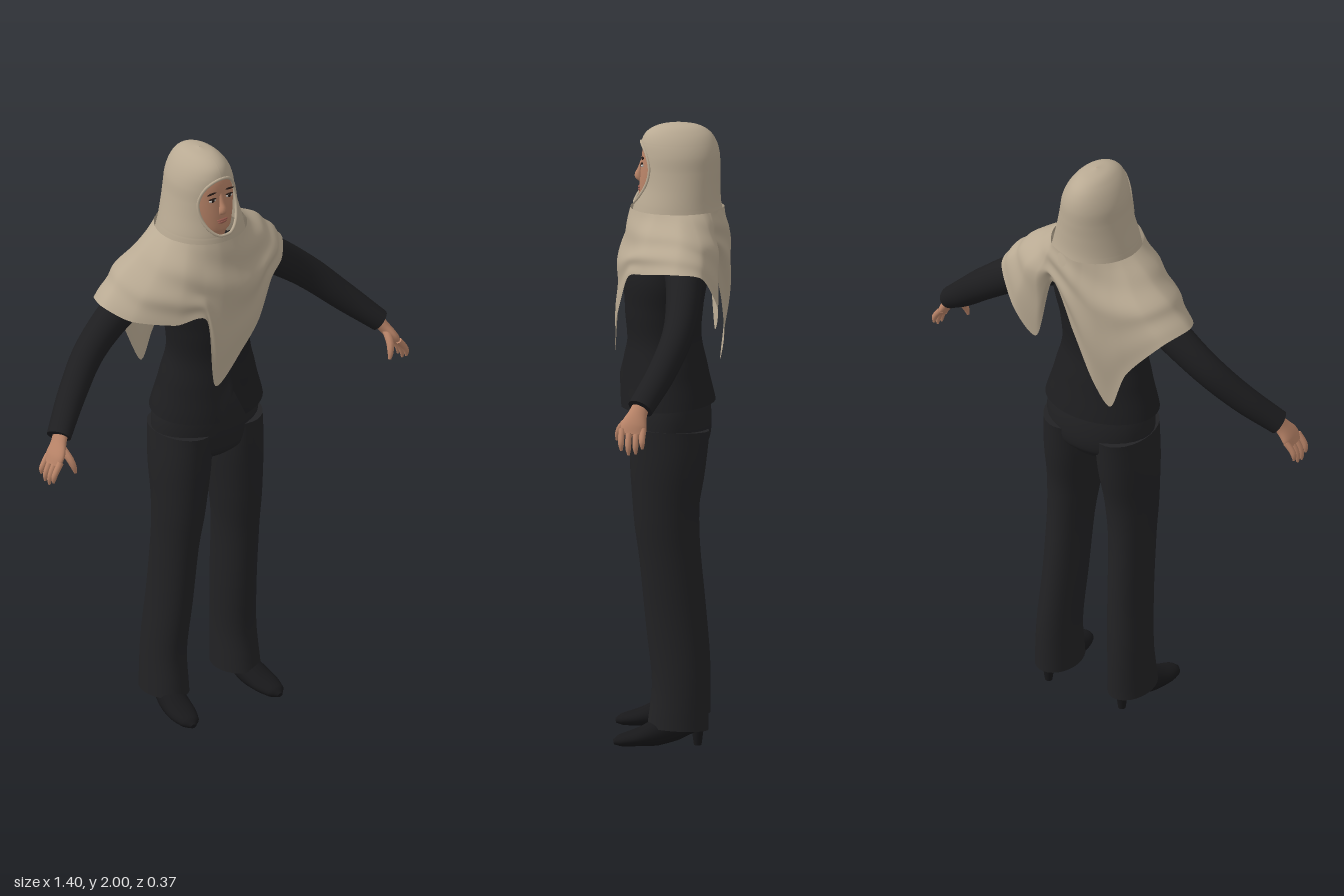
import * as THREE from 'three';

const mat = (name, color, side = THREE.FrontSide) => {
  const m = new THREE.MeshStandardMaterial({ color, side });
  m.name = name;
  return m;
};
const V = (x, y, z) => new THREE.Vector3(x, y, z);

// Smooth surface through rows of points
function grid(rows, closed) {
  const n = rows[0].length, pos = [], idx = [];
  rows.forEach(r => r.forEach(p => pos.push(p.x, p.y, p.z)));
  for (let i = 0; i < rows.length - 1; i++) {
    for (let j = 0; j < (closed ? n : n - 1); j++) {
      const k = (j + 1) % n, a = i * n + j, b = i * n + k;
      idx.push(a, b, a + n, b, b + n, a + n);
    }
  }
  const g = new THREE.BufferGeometry();
  g.setAttribute('position', new THREE.Float32BufferAttribute(pos, 3));
  g.setIndex(idx);
  g.computeVertexNormals();
  return g;
}

// Elliptical rings along a smooth path; section = [x, y, z, radius along ref, radius across]
function sweep(sections, { ref = V(0, 0, 1), segs = 28, steps = 24, caps = true } = {}) {
  const path = new THREE.CatmullRomCurve3(sections.map(s => V(s[0], s[1], s[2])));
  const size = new THREE.CatmullRomCurve3(sections.map(s => V(s[3], s[4], 0)), false, 'catmullrom', 0.4);
  const rows = [];
  for (let i = 0; i <= steps; i++) {
    const t = i / steps, c = path.getPoint(t), T = path.getTangent(t), r = size.getPoint(t);
    const U = ref.clone().addScaledVector(T, -T.dot(ref)).normalize();
    const W = T.clone().cross(U);
    rows.push(Array.from({ length: segs }, (_, j) => {
      const a = j / segs * Math.PI * 2;
      return c.clone().addScaledVector(U, r.x * Math.cos(a)).addScaledVector(W, r.y * Math.sin(a));
    }));
  }
  if (caps) {
    const flat = p => Array(segs).fill(p);
    rows.unshift(flat(path.getPoint(0)), rows[0]);
    rows.push(rows[rows.length - 1], flat(path.getPoint(1)));
  }
  return grid(rows, true);
}

// Upright body section from half-width, front z and back z
const body = (y, rx, zf, zb, x = 0) => [x, y, (zf + zb) / 2, (zf - zb) / 2, rx];

export function createModel() {
  const model = new THREE.Group();
  const scarf = mat('scarf beige', 0xb9aa93, THREE.DoubleSide);
  const skin = mat('skin', 0xb98468);
  const jacketMat = mat('jacket black', 0x1e1e20, THREE.DoubleSide);
  const trouserMat = mat('trouser black', 0x222224);
  const shoeMat = mat('shoe black', 0x18181a);
  const lipMat = mat('lip brown', 0x94584c);
  const dark = mat('eye dark', 0x231814);
  const white = mat('white', 0xd0ccc6, THREE.DoubleSide);
  const add = (name, geo, material, parent = model) => {
    const m = new THREE.Mesh(geo, material);
    m.name = name;
    parent.add(m);
    return m;
  };
  const blob = (name, material, p, s, parent) => {
    const m = add(name, new THREE.SphereGeometry(1, 20, 12), material, parent);
    m.position.set(...p);
    m.scale.set(...s);
    return m;
  };

  // Jacket body with a notch at the front hem
  const jacket = sweep([
    body(1.09, 0.195, 0.165, -0.14), body(1.2, 0.165, 0.152, -0.115), body(1.3, 0.142, 0.142, -0.095),
    body(1.4, 0.15, 0.15, -0.1), body(1.5, 0.168, 0.15, -0.115), body(1.58, 0.165, 0.11, -0.12),
    body(1.66, 0.1, 0.06, -0.1), body(1.7, 0.05, 0.04, -0.07),
  ], { segs: 96, steps: 48, caps: false });
  const jp = jacket.attributes.position;
  for (let i = 0; i < jp.count; i++) {
    const y = jp.getY(i);
    if (y < 1.3 && jp.getZ(i) > 0.05)
      jp.setY(i, y + Math.max(0, 1 - Math.abs(jp.getX(i)) / 0.05) * 0.1 * (1.3 - y) / 0.21);
  }
  jacket.computeVertexNormals();
  add('jacket', jacket, jacketMat);
  const shirt = add('shirtGap', new THREE.CircleGeometry(0.018, 4), white);
  shirt.position.set(0, 1.178, 0.143);
  shirt.scale.x = 0.7;

  // Trousers: hips and legs
  add('hips', sweep([
    body(0.92, 0.11, 0.09, -0.08), body(0.96, 0.175, 0.128, -0.115), body(1.02, 0.188, 0.137, -0.127),
    body(1.1, 0.183, 0.135, -0.12), body(1.22, 0.14, 0.11, -0.08),
  ]), trouserMat);
  for (const s of [1, -1]) {
    const side = new THREE.Group();
    side.name = s > 0 ? 'leftLimbs' : 'rightLimbs';
    model.add(side);
    const leg = (y, xi, xo, zf, zb) => body(y, (xo - xi) / 2, zf, zb, s * (xi + xo) / 2);
    add('trouserLeg', sweep([
      leg(0.055, 0.068, 0.212, 0.075, -0.12), leg(0.2, 0.07, 0.203, 0.06, -0.12),
      leg(0.4, 0.06, 0.19, 0.08, -0.105), leg(0.6, 0.05, 0.187, 0.1, -0.087),
      leg(0.75, 0.03, 0.191, 0.12, -0.087), leg(0.9, 0.01, 0.195, 0.131, -0.11), leg(1.02, 0.006, 0.19, 0.134, -0.122),
    ]), trouserMat, side);

    // Heeled shoe, toe turned slightly out
    const shoe = (z, x, lo, hi, w) => [s * x, (lo + hi) / 2, z, (hi - lo) / 2, w];
    add('shoe', sweep([
      shoe(-0.105, 0.14, 0.05, 0.1, 0.026), shoe(-0.07, 0.142, 0.04, 0.11, 0.036), shoe(-0.01, 0.147, 0.015, 0.11, 0.038),
      shoe(0.05, 0.155, 0, 0.082, 0.046), shoe(0.11, 0.163, 0, 0.055, 0.046),
      shoe(0.16, 0.168, 0, 0.038, 0.032), shoe(0.182, 0.17, 0.006, 0.022, 0.01),
    ], { ref: V(0, 1, 0) }), shoeMat, side);
    const heel = add('shoeHeel', new THREE.CylinderGeometry(0.021, 0.012, 0.065, 16), shoeMat, side);
    heel.position.set(s * 0.141, 0.0325, -0.086);

    // Sleeve
    add('sleeve', sweep([
      [s * 0.13, 1.575, -0.03, 0.06, 0.06], [s * 0.26, 1.515, -0.045, 0.058, 0.062], [s * 0.42, 1.395, -0.03, 0.05, 0.053],
      [s * 0.53, 1.29, 0.02, 0.046, 0.046], [s * 0.63, 1.195, 0.085, 0.042, 0.036],
    ]), jacketMat, side);

    // Hand: palm, four fingers and thumb
    add('palm', sweep([
      [s * 0.612, 1.215, 0.075, 0.026, 0.022], [s * 0.635, 1.18, 0.092, 0.03, 0.019],
      [s * 0.658, 1.145, 0.105, 0.041, 0.017], [s * 0.672, 1.118, 0.108, 0.037, 0.013],
    ]), skin, side);
    [[0.142, 0.015], [0.119, 0], [0.096, 0.003], [0.075, 0.02]].forEach(([z, up], i) => add('finger' + (i + 1), sweep([
      [s * 0.664, 1.135, z, 0.011, 0.011], [s * 0.684, 1.102 + up * 0.4, z + 0.003, 0.01, 0.01],
      [s * 0.692, 1.078 + up * 0.8, z + 0.003, 0.009, 0.009], [s * 0.693, 1.056 + up, z + 0.002, 0.004, 0.004],
    ], { segs: 10, steps: 8 }), skin, side));
    add('thumb', sweep([
      [s * 0.638, 1.17, 0.108, 0.014, 0.013], [s * 0.63, 1.14, 0.142, 0.013, 0.012],
      [s * 0.623, 1.115, 0.155, 0.011, 0.01], [s * 0.617, 1.09, 0.159, 0.005, 0.005],
    ], { segs: 10, steps: 8 }), skin, side);

    // Eye and brow
    blob('eyeWhite', white, [s * 0.032, 1.864, 0.0935], [0.014, 0.0055, 0.004], side);
    blob('iris', dark, [s * 0.032, 1.864, 0.0955], [0.0058, 0.0058, 0.004], side);
    blob('eyelid', dark, [s * 0.033, 1.87, 0.0945], [0.0155, 0.0022, 0.004], side);
    blob('brow', dark, [s * 0.034, 1.888, 0.092], [0.019, 0.0026, 0.004], side).rotation.z = -s * 0.08;
  }

  // Head and face
  add('head', sweep([
    [0, 1.66, -0.02, 0.06, 0.055], [0, 1.725, 0, 0.085, 0.06], [0, 1.75, 0, 0.103, 0.075], [0, 1.8, 0, 0.103, 0.086],
    [0, 1.86, 0, 0.098, 0.09], [0, 1.92, -0.005, 0.093, 0.085], [0, 1.96, -0.01, 0.05, 0.05],
  ], { segs: 48, steps: 36 }), skin);
  add('nose', sweep([
    [0, 1.88, 0.09, 0.007, 0.008], [0, 1.85, 0.1, 0.008, 0.009], [0, 1.825, 0.105, 0.014, 0.013], [0, 1.812, 0.1, 0.008, 0.013],
  ], { segs: 16, steps: 12 }), skin);
  blob('upperLip', lipMat, [0, 1.789, 0.102], [0.021, 0.004, 0.006]);
  blob('lowerLip', lipMat, [0, 1.781, 0.102], [0.018, 0.005, 0.006]);

  // Hood: horizontal rings that leave an oval open for the face
  const hoodSections = [
    [1.68, 0.148, 0.13, -0.17], [1.74, 0.135, 0.12, -0.158], [1.8, 0.12, 0.107, -0.155], [1.85, 0.109, 0.103, -0.155],
    [1.9, 0.1, 0.101, -0.153], [1.94, 0.084, 0.096, -0.142], [1.97, 0.063, 0.078, -0.121],
    [1.99, 0.038, 0.04, -0.085], [2, 0.001, -0.02, -0.022],
  ];
  const hoodY = new THREE.CatmullRomCurve3(hoodSections.map(s => V(s[0], s[1], 0)), false, 'catmullrom');
  const hoodZ = new THREE.CatmullRomCurve3(hoodSections.map(s => V(s[2], s[3], 0)), false, 'catmullrom');
  const hoodRows = [], rimA = [], rimB = [];
  for (let i = 0; i <= 110; i++) {
    const { x: y, y: rx } = hoodY.getPoint(i / 110), { x: zf, y: zb } = hoodZ.getPoint(i / 110);
    const w = 0.073 * Math.sqrt(Math.max(0, 1 - ((y - 1.837) / 0.099) ** 2));
    const open = Math.asin(Math.min(0.95, w / rx));
    const row = [];
    for (let j = 0; j <= 64; j++) {
      const a = open + (2 * Math.PI - 2 * open) * j / 64;
      row.push(V(rx * Math.sin(a), y, (zf + zb) / 2 + (zf - zb) / 2 * Math.cos(a)));
    }
    hoodRows.push(row);
    if (w > 0) { rimA.push(row[0]); rimB.unshift(row[64]); }
  }
  add('hood', grid(hoodRows, false), scarf);
  add('hoodRim', new THREE.TubeGeometry(new THREE.CatmullRomCurve3([...rimA, ...rimB], true), 120, 0.005, 8, true), scarf);

  // Shawl: shoulder ring and pointed hem, from front centre round by the left side
  const shoulder = [
    [0.03, 1.55, 0.17], [0.08, 1.57, 0.16], [0.14, 1.6, 0.13], [0.21, 1.63, 0.08], [0.26, 1.645, -0.03], [0.25, 1.63, -0.1],
    [0.19, 1.61, -0.145], [0.14, 1.61, -0.15], [0.1, 1.635, -0.145], [0, 1.6, -0.18], [-0.05, 1.58, -0.187],
    [-0.1, 1.56, -0.187], [-0.17, 1.57, -0.172], [-0.25, 1.6, -0.135], [-0.28, 1.62, -0.05], [-0.25, 1.6, 0.05],
    [-0.17, 1.59, 0.12], [-0.1, 1.57, 0.15], [-0.04, 1.55, 0.167],
  ];
  const hem = [
    [0.03, 1.345, 0.178], [0.1, 1.42, 0.165], [0.17, 1.53, 0.135], [0.25, 1.552, 0.08], [0.32, 1.565, -0.02], [0.31, 1.55, -0.105],
    [0.23, 1.44, -0.152], [0.15, 1.36, -0.14], [0.1, 1.58, -0.125], [0, 1.44, -0.155], [-0.08, 1.29, -0.165],
    [-0.14, 1.2, -0.15], [-0.21, 1.36, -0.165], [-0.33, 1.5, -0.14], [-0.37, 1.525, -0.04], [-0.32, 1.495, 0.05],
    [-0.2, 1.475, 0.125], [-0.105, 1.48, 0.165], [-0.085, 1.24, 0.182],
  ];
  const neck = shoulder.map(([x, , z]) => {
    const a = Math.atan2(x, z + 0.017);
    return [0.148 * Math.sin(a), 1.725, -0.017 + 0.15 * Math.cos(a)];
  });
  const rings = [hem, shoulder, neck].map(r => new THREE.CatmullRomCurve3(r.map(p => V(...p)), true, 'catmullrom', 0.4));
  const cols = 190, steps = 26, shawl = Array.from({ length: steps + 1 }, () => []);
  for (let j = 0; j < cols; j++) {
    const line = new THREE.CatmullRomCurve3(rings.map(r => r.getPoint(j / cols)));
    for (let i = 0; i <= steps; i++) {
      const v = i / steps, p = line.getPoint(v);
      // Soft folds slanting across the cloth
      const fold = 0.005 * Math.sin(v * 15 + j / cols * Math.PI * 6) * Math.sin(v * Math.PI);
      const out = V(p.x, 0, p.z + 0.02).normalize();
      shawl[i].push(p.addScaledVector(out, fold));
    }
  }
  add('shawl', grid(shawl, true), scarf);
  return model;
}
